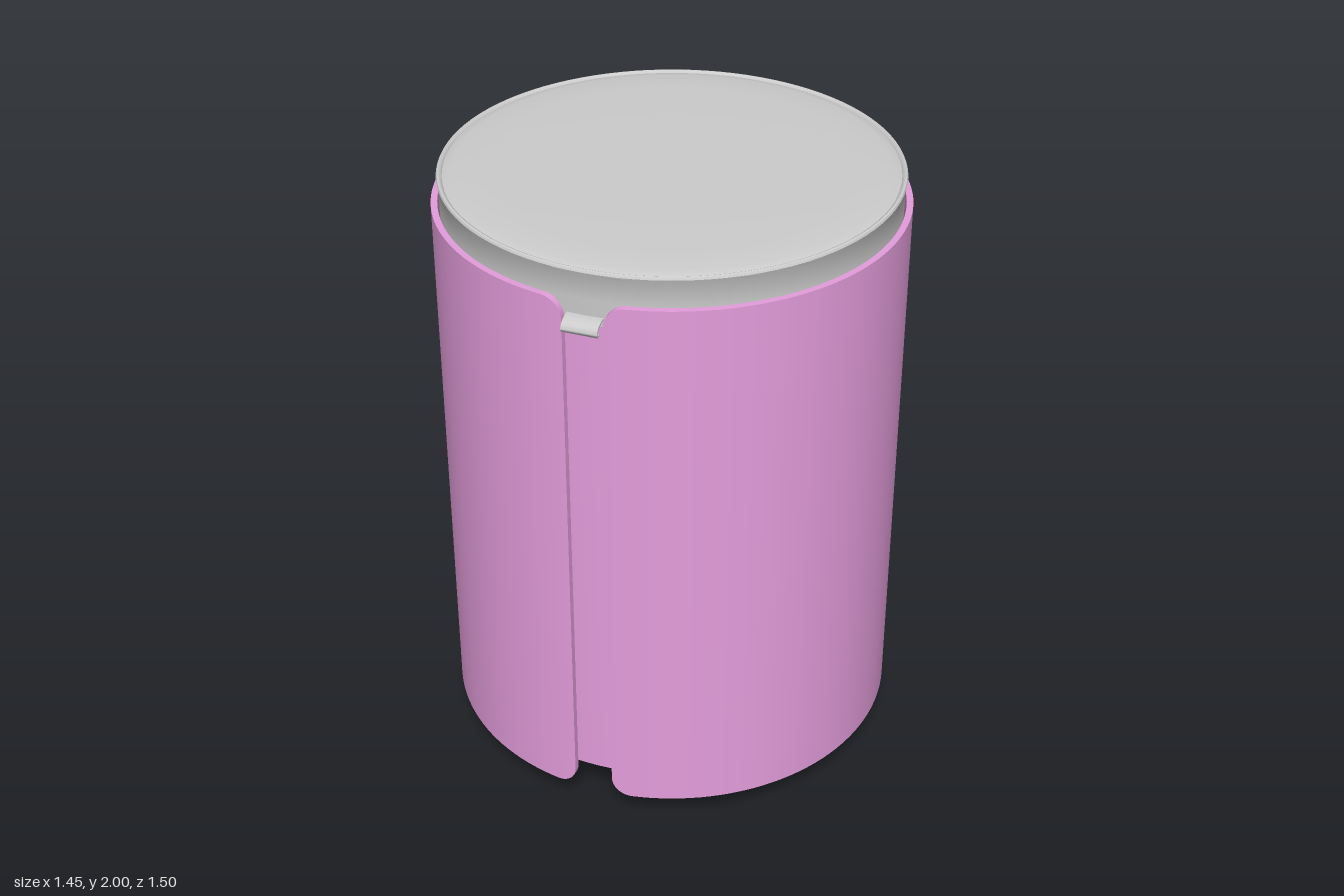
import * as THREE from 'three';
import { toCreasedNormals } from 'three/addons/utils/BufferGeometryUtils.js';

const pink = new THREE.MeshStandardMaterial({ color: 0xe49ddc });
const grey = new THREE.MeshStandardMaterial({ color: 0xcccccc });
const black = new THREE.MeshStandardMaterial({ color: 0x0c0c0c });

function add(parent, name, geometry, material) {
  const mesh = new THREE.Mesh(geometry, material);
  mesh.name = name;
  parent.add(mesh);
  return mesh;
}

// Solid of revolution from [radius, height] pairs, listed bottom to top
function turned(profile, segments) {
  const points = profile.map(([r, y]) => new THREE.Vector2(r, y));
  return toCreasedNormals(new THREE.LatheGeometry(points, segments), 0.6);
}

// Half-round curved panel on the +x side, with rounded corners at its two upright edges
function panelGeometry() {
  const outer = 0.727, inner = 0.707, low = 0.11, high = 1.9;
  const start = 0.086, corner = 0.065, cornerAngle = corner / outer;
  const angles = [];
  for (let i = 0; i <= 8; i++) angles.push(start + cornerAngle * (1 - Math.cos((i / 8) * Math.PI / 2)));
  const first = start + cornerAngle, span = Math.PI - 2 * first;
  for (let i = 1; i < 64; i++) angles.push(first + (span * i) / 64);
  for (let i = 8; i >= 0; i--) angles.push(Math.PI - angles[i]);

  const positions = [], index = [];
  angles.forEach((angle, k) => {
    const fromEdge = Math.min(angle, Math.PI - angle) - start;
    const u = 1 - Math.min(1, Math.max(0, fromEdge / cornerAngle));
    const inset = corner * (1 - Math.sqrt(1 - u * u));
    const s = Math.sin(angle), c = Math.cos(angle);
    for (const [r, y] of [[outer, low + inset], [outer, high - inset], [inner, high - inset], [inner, low + inset]]) {
      positions.push(r * s, y, r * c);
    }
    if (k === 0) return;
    for (let j = 0; j < 4; j++) {
      const n = (j + 1) % 4, p = (k - 1) * 4, q = k * 4;
      index.push(p + j, q + j, q + n, p + j, q + n, p + n);
    }
  });
  const e = (angles.length - 1) * 4;
  index.push(0, 1, 2, 0, 2, 3, e, e + 2, e + 1, e, e + 3, e + 2);
  const geometry = new THREE.BufferGeometry();
  geometry.setAttribute('position', new THREE.Float32BufferAttribute(positions, 3));
  geometry.setIndex(index);
  return toCreasedNormals(geometry, 0.6);
}

// Small curled pull tab: a bent strip extruded across its width
function tabGeometry() {
  const width = 0.11, thickness = 0.006;
  const path = new THREE.CatmullRomCurve3([
    [0.69, 1.85], [0.722, 1.846], [0.742, 1.836], [0.75, 1.82], [0.744, 1.809], [0.732, 1.81],
  ].map(([z, y]) => new THREE.Vector3(z, y, 0)));
  const top = [], bottom = [];
  for (let i = 0; i <= 20; i++) {
    const p = path.getPoint(i / 20), t = path.getTangent(i / 20);
    top.push(new THREE.Vector2(p.x, p.y));
    bottom.unshift(new THREE.Vector2(p.x + t.y * thickness, p.y - t.x * thickness));
  }
  const geometry = new THREE.ExtrudeGeometry(new THREE.Shape([...top, ...bottom]), { depth: width, bevelEnabled: false });
  geometry.translate(0, 0, -width / 2).rotateY(-Math.PI / 2);
  return toCreasedNormals(geometry, 0.7);
}

export function createModel() {
  const model = new THREE.Group();
  model.name = 'storageStool';

  // Inner drum
  add(model, 'drum', turned([[0, 0.19], [0.7, 0.19], [0.7, 1.82], [0, 1.82]], 96), pink);

  // Two outer panels with a slot between them at front and back
  const panel = panelGeometry();
  add(model, 'leftPanel', panel, pink);
  add(model, 'rightPanel', panel, pink).rotation.y = Math.PI;

  // Padded lid with a piped rim
  add(model, 'lid', turned([
    [0, 1.82], [0.701, 1.82], [0.701, 1.9], [0.703, 1.975], [0.706, 1.98], [0.707, 1.986],
    [0.704, 1.992], [0.698, 1.994], [0.692, 1.991], [0.689, 1.986], [0.684, 1.988],
    [0.66, 1.993], [0.55, 1.997], [0.3, 1.999], [0, 2.0],
  ], 96), grey);

  // Pull tabs in the front and back slots
  const tab = tabGeometry();
  add(model, 'frontTab', tab, grey);
  add(model, 'backTab', tab, grey).rotation.y = Math.PI;

  // Four round feet
  const foot = turned([[0, 0], [0.085, 0], [0.093, 0.004], [0.097, 0.014], [0.097, 0.2], [0, 0.2]], 32);
  for (const x of [-1, 1]) {
    for (const z of [-1, 1]) {
      const name = (z > 0 ? 'front' : 'back') + (x > 0 ? 'Left' : 'Right') + 'Foot';
      add(model, name, foot, black).position.set(x * 0.37, 0, z * 0.37);
    }
  }
  return model;
}
